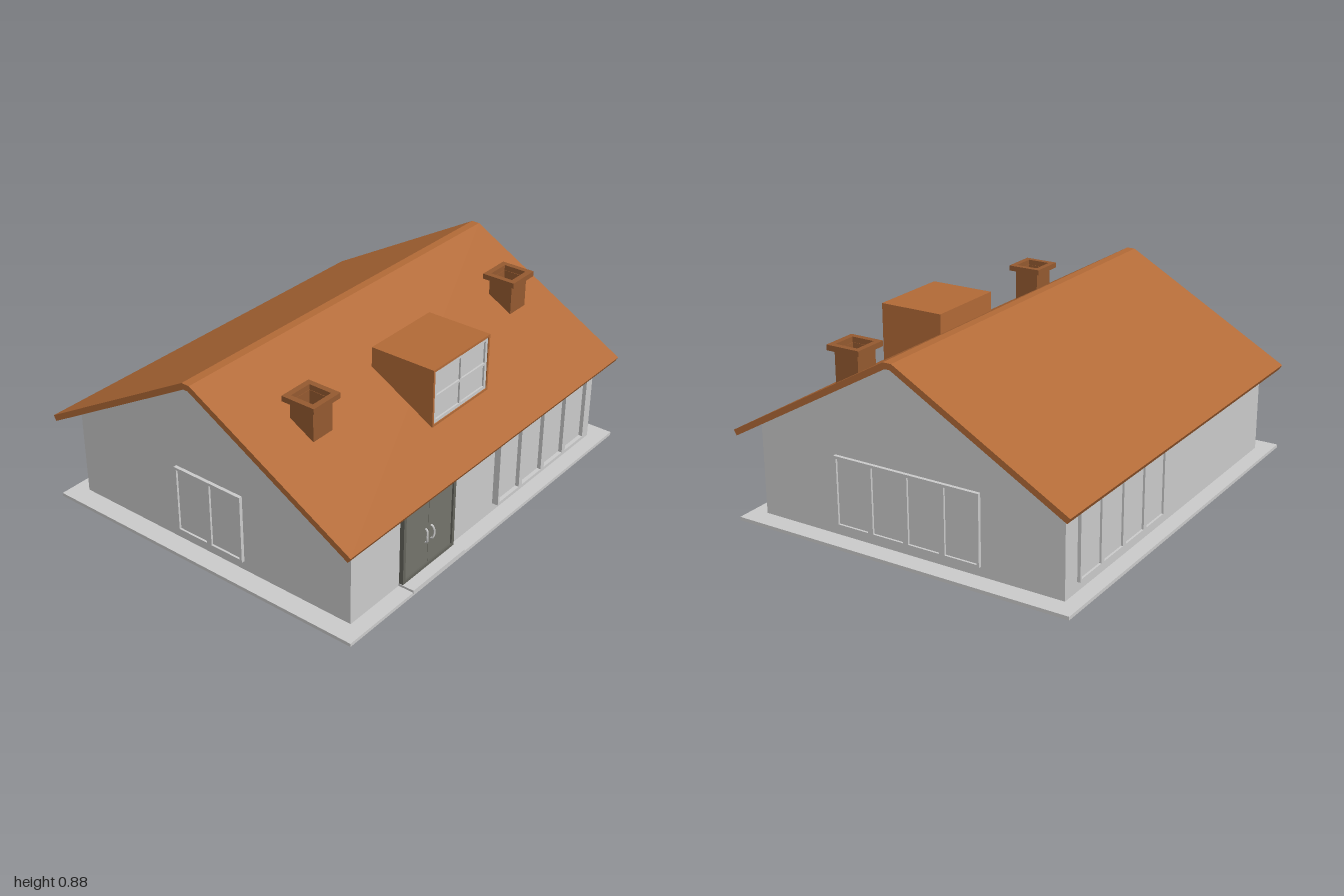
import * as THREE from 'three';

const mat = (color) => new THREE.MeshStandardMaterial({ color, flatShading: true });
const grey = mat(0xcccccc), roofMat = mat(0xb26a37), chimneyMat = mat(0x955a30);
const doorMat = mat(0x74746b), frameMat = mat(0x64645c);

function add(parent, name, geometry, material) {
  const mesh = new THREE.Mesh(geometry, material);
  mesh.name = name;
  parent.add(mesh);
  return mesh;
}

// box given by its lower and upper corners
function box(x0, x1, y0, y1, z0, z1) {
  return new THREE.BoxGeometry(x1 - x0, y1 - y0, z1 - z0)
    .translate((x0 + x1) / 2, (y0 + y1) / 2, (z0 + z1) / 2);
}

// (z, y) profile extruded along x, centred on x = 0
function prism(points, width) {
  const shape = new THREE.Shape(points.map(([z, y]) => new THREE.Vector2(z, y)));
  return new THREE.ExtrudeGeometry(shape, { depth: width, bevelEnabled: false })
    .translate(0, 0, -width / 2).rotateY(-Math.PI / 2);
}

function rect(Type, x0, x1, y0, y1) {
  return new Type().moveTo(x0, y0).lineTo(x1, y0).lineTo(x1, y1).lineTo(x0, y1).closePath();
}

// flat plate with a grid of rectangular openings, centred on x, standing on y = 0
function grid(w, h, depth, cols, rows, border, gap) {
  const shape = rect(THREE.Shape, -w / 2, w / 2, 0, h);
  const pw = (w - 2 * border - (cols - 1) * gap) / cols;
  const ph = (h - 2 * border - (rows - 1) * gap) / rows;
  for (let i = 0; i < cols; i++) {
    for (let j = 0; j < rows; j++) {
      const x = -w / 2 + border + i * (pw + gap), y = border + j * (ph + gap);
      shape.holes.push(rect(THREE.Path, x, x + pw, y, y + ph));
    }
  }
  return new THREE.ExtrudeGeometry(shape, { depth, bevelEnabled: false });
}

// framed window facing +z, its back on z = 0
function makeWindow(name, w, h, depth, cols, rows, border, gap) {
  const group = new THREE.Group();
  group.name = name;
  add(group, 'windowFrame', grid(w, h, depth, cols, rows, border, gap), grey);
  add(group, 'windowPanes', box(-w / 2 + 0.003, w / 2 - 0.003, 0.003, h - 0.003, 0, depth * 0.4), grey);
  return group;
}

// height of the roof's outer surface
const roofY = (z) => 0.883 - (Math.abs(z) - 0.02) * 0.564;

function makeChimney(x) {
  const group = new THREE.Group();
  group.name = 'chimney';
  group.position.set(x, 0, 0.367);
  const ring = (outer, inner, height) => {
    const shape = rect(THREE.Shape, -outer, outer, -outer, outer);
    shape.holes.push(rect(THREE.Path, -inner, inner, -inner, inner));
    return new THREE.ExtrudeGeometry(shape, { depth: height, bevelEnabled: false }).rotateX(-Math.PI / 2);
  };
  // hollow shaft whose lower end follows the roof slope
  const shaft = ring(0.06, 0.054, 1);
  const p = shaft.attributes.position;
  for (let i = 0; i < p.count; i++) {
    p.setY(i, p.getY(i) > 0.5 ? 0.8 : roofY(p.getZ(i) + 0.367) - 0.01);
  }
  shaft.computeVertexNormals();
  add(group, 'chimneyShaft', shaft, chimneyMat);
  add(group, 'chimneyCap', ring(0.083, 0.056, 0.025).translate(0, 0.8, 0), chimneyMat);
  return group;
}

function makeDoor() {
  const group = new THREE.Group();
  group.name = 'frontDoor';
  group.position.set(-0.408, 0.025, 0.75);
  add(group, 'doorFrame', grid(0.36, 0.365, 0.026, 1, 1, 0.016, 0), frameMat);
  for (const s of [-1, 1]) {
    const a = s * 0.001, b = s * 0.163;
    add(group, 'doorLeaf', box(Math.min(a, b), Math.max(a, b), 0.016, 0.348, 0, 0.018), doorMat);
    // bowed pull handle
    const path = new THREE.CatmullRomCurve3([
      [0.019, 0.125, 0.016], [0.02, 0.13, 0.027], [0.025, 0.158, 0.032], [0.02, 0.187, 0.027], [0.019, 0.192, 0.016],
    ].map(([x, y, z]) => new THREE.Vector3(s * x, y, z)));
    add(group, 'doorHandle', new THREE.TubeGeometry(path, 14, 0.0045, 6), grey);
  }
  return group;
}

export function createModel() {
  const house = new THREE.Group();
  house.name = 'house';

  // ground slab and door step
  add(house, 'baseSlab', box(-1, 1, 0, 0.016, -0.83, 0.83), grey);
  add(house, 'doorStep', box(-0.59, -0.227, 0.01, 0.027, 0.74, 0.832), grey);

  // gabled walls
  add(house, 'walls', prism([
    [-0.756, 0.01], [0.756, 0.01], [0.756, 0.437], [0.015, 0.855], [-0.015, 0.855], [-0.756, 0.437],
  ], 1.812), grey);

  // folded roof sheet with a blunt ridge
  add(house, 'roof', prism([
    [0.83, 0.426], [0.02, 0.883], [-0.02, 0.883], [-0.83, 0.426],
    [-0.816, 0.402], [-0.012, 0.856], [0.012, 0.856], [0.816, 0.402],
  ], 2), roofMat);

  // windows: name, x, z, turn, width, depth, columns
  for (const [name, x, z, turn, w, depth, cols] of [
    ['frontWindow', 0.452, 0.755, 0, 0.722, 0.031, 4],
    ['backWindow', 0.452, -0.755, Math.PI, 0.722, 0.016, 4],
    ['leftWindow', 0.905, -0.005, Math.PI / 2, 0.722, 0.017, 4],
    ['rightWindow', -0.905, 0.005, -Math.PI / 2, 0.37, 0.017, 2],
  ]) {
    const win = makeWindow(name, w, 0.325, depth, cols, 1, 0.012, 0.027);
    win.position.set(x, 0.06, z);
    win.rotation.y = turn;
    house.add(win);
  }

  house.add(makeDoor());

  // flat-topped dormer sunk into the front slope
  const dormer = new THREE.Group();
  dormer.name = 'dormer';
  dormer.position.x = 0.002;
  add(dormer, 'dormerBody', prism([
    [0.608, 0.541], [0.608, 0.814], [0.305, 0.814], [0.305, 0.71],
  ], 0.408), roofMat);
  add(dormer, 'dormerRim', grid(0.408, 0.274, 0.018, 1, 1, 0.011, 0).translate(0, 0.54, 0.608), roofMat);
  const pane = makeWindow('dormerWindow', 0.386, 0.252, 0.014, 2, 2, 0.016, 0.011);
  pane.position.set(0, 0.551, 0.608);
  dormer.add(pane);
  house.add(dormer);

  house.add(makeChimney(-0.672), makeChimney(0.735));
  return house;
}
